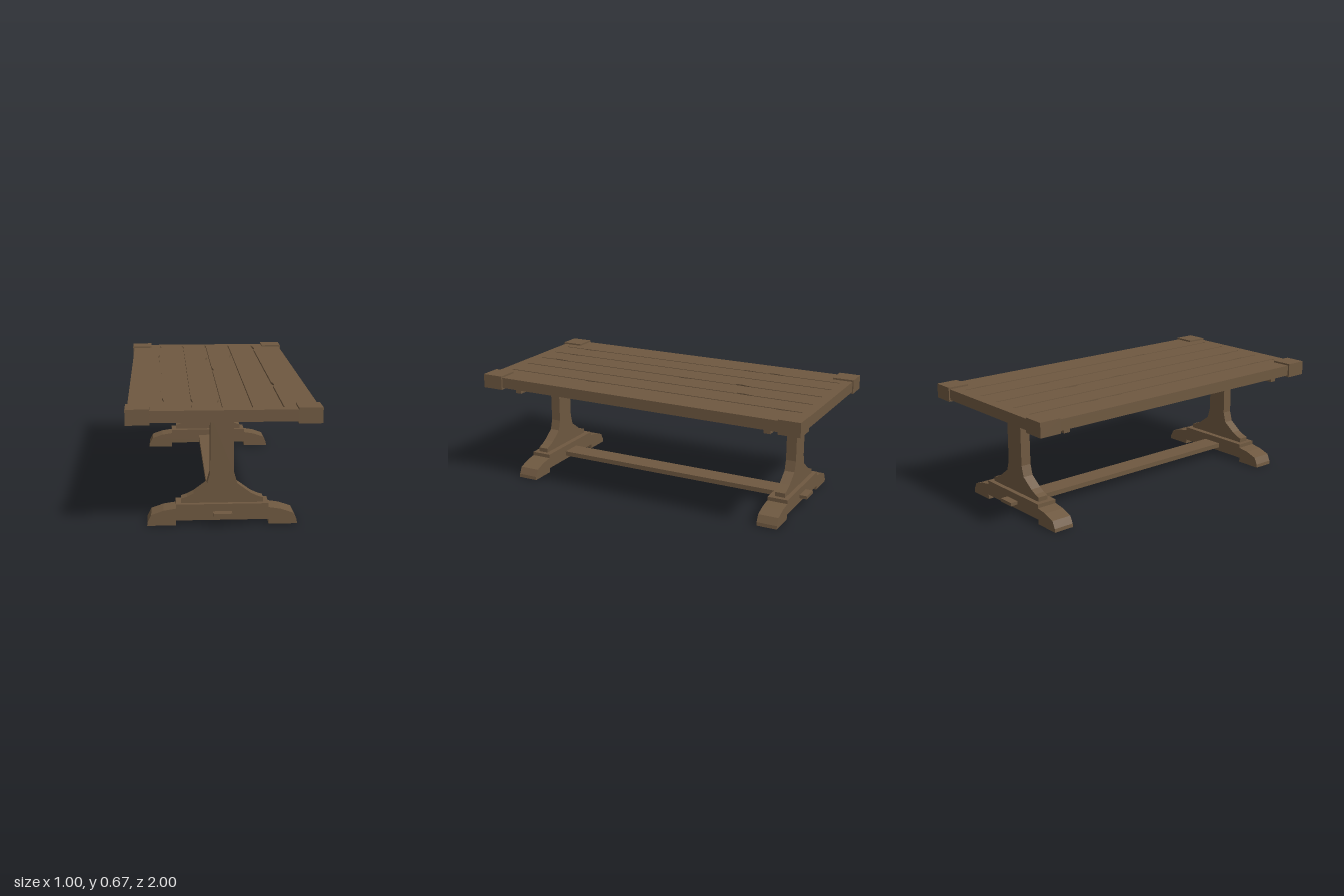
import * as THREE from 'three';

const wood = new THREE.MeshStandardMaterial({ color: 0x6e5840, flatShading: true });

function addMesh(parent, name, geometry, x = 0, y = 0, z = 0) {
  const mesh = new THREE.Mesh(geometry, wood);
  mesh.name = name;
  mesh.position.set(x, y, z);
  parent.add(mesh);
  return mesh;
}

// Box given by its size, its bottom height and its centre in x and z
function addBox(parent, name, w, h, d, x, bottom, z) {
  return addMesh(parent, name, new THREE.BoxGeometry(w, h, d), x, bottom + h / 2, z);
}

// Symmetric silhouette from its right half (bottom to top), extruded about z = 0
function mirroredProfile(half, depth) {
  const left = half.map(([x, y]) => [-x, y]).reverse();
  const shape = new THREE.Shape([...half, ...left].map(([x, y]) => new THREE.Vector2(x, y)));
  return new THREE.ExtrudeGeometry(shape, { depth, bevelEnabled: false }).translate(0, 0, -depth / 2);
}

// Tabletop: a solid slab with a grooved layer on it
function createTop() {
  const top = new THREE.Group();
  top.name = 'tabletop';
  const halfX = 0.49, halfZ = 0.993, surface = 0.657, grooveDepth = 0.012;
  addBox(top, 'slab', halfX * 2, surface - grooveDepth - 0.595, halfZ * 2, 0, 0.595, 0);

  const layer = new THREE.Shape([
    new THREE.Vector2(-halfX, -halfZ), new THREE.Vector2(halfX, -halfZ),
    new THREE.Vector2(halfX, halfZ), new THREE.Vector2(-halfX, halfZ),
  ]);
  // Each groove: x position and worn nicks as [z, side, width]
  const grooves = [
    [-0.315, [[-0.52, -1, 0.011], [-0.35, -1, 0.006], [0.76, 1, 0.006]]],
    [-0.165, [[0.78, 1, 0.006]]],
    [-0.01, [[-0.43, -1, 0.016], [-0.08, 1, 0.008], [0.81, -1, 0.01]]],
    [0.145, [[-0.51, -1, 0.011]]],
    [0.305, [[-0.82, 1, 0.006], [0.37, 1, 0.008]]],
  ];
  const w = 0.005, end = 0.935;
  for (const [x, nicks] of grooves) {
    const edge = (side) => {
      const points = [[x + side * w, -end]];
      for (const [z, s, size] of nicks) {
        if (s !== side) continue;
        points.push([x + side * w, z - 0.07], [x + side * (w + size), z - 0.01],
          [x + side * (w + size), z + 0.025], [x + side * w, z + 0.04]);
      }
      points.push([x + side * w, end]);
      return points.map(([px, pz]) => new THREE.Vector2(px, pz));
    };
    layer.holes.push(new THREE.Path([...edge(-1), ...edge(1).reverse()]));
  }
  const planks = new THREE.ExtrudeGeometry(layer, { depth: grooveDepth, bevelEnabled: false });
  addMesh(top, 'planks', planks.rotateX(Math.PI / 2), 0, surface, 0);

  // Corner caps wrap the slab
  for (const sx of [-1, 1]) for (const sz of [-1, 1]) {
    addBox(top, 'cornerCap', 0.124, 0.082, 0.126, sx * 0.438, 0.585, sz * 0.937);
  }
  return top;
}

// Trestle: foot, flared post and the bearer under the top
function createTrestle(side) {
  const trestle = new THREE.Group();
  trestle.name = side > 0 ? 'frontTrestle' : 'backTrestle';
  const foot = [[0.246, 0.027], [0.246, 0], [0.398, 0], [0.396, 0.02], [0.376, 0.06],
    [0.31, 0.083], [0.245, 0.093], [0.245, 0.115]];
  const post = [[0.217, 0.115], [0.217, 0.14], [0.185, 0.15], [0.15, 0.168],
    [0.08, 0.22], [0.063, 0.28], [0.062, 0.596]];
  addMesh(trestle, 'foot', mirroredProfile(foot, 0.12));
  addMesh(trestle, 'post', mirroredProfile(post, 0.06), 0, 0, 0.004);
  addBox(trestle, 'bearer', 0.89, 0.036, 0.038, 0, 0.56, 0.004);
  trestle.position.z = side * 0.79;
  if (side < 0) trestle.rotation.y = Math.PI;
  return trestle;
}

export function createModel() {
  const table = new THREE.Group();
  table.name = 'trestleTable';
  table.add(createTop(), createTrestle(1), createTrestle(-1));

  // Low stretcher with tenons through both feet
  addBox(table, 'stretcher', 0.124, 0.028, 1.47, 0, 0.05, 0);
  for (const side of [-1, 1]) {
    addBox(table, 'tenon', 0.1, 0.019, 0.165, 0, 0.056, side * 0.812);
  }
  return table;
}
